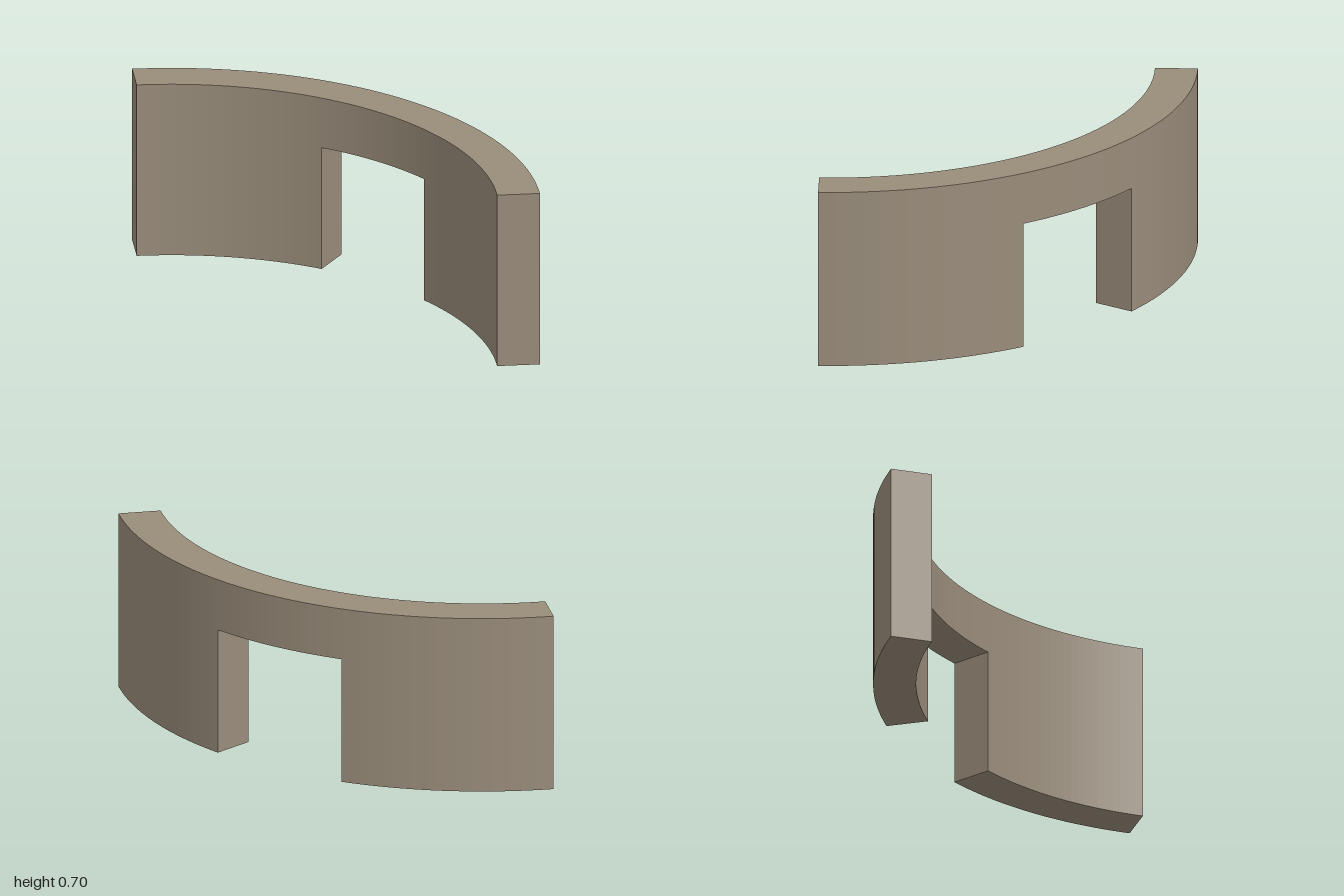
import * as THREE from 'three';

const OUTER = Math.SQRT2, INNER = 1.25; // wall radii
const CENTRE_X = -1.149;                // axis of the curve
const HEIGHT = 0.705, DOOR_HEIGHT = 0.5;
const END = Math.PI / 4;                // half angle of the whole wall
const DOOR = THREE.MathUtils.degToRad(11.6); // half angle of the opening

export function createModel() {
  const group = new THREE.Group();
  group.name = 'curvedWall';
  const stone = new THREE.MeshStandardMaterial({ color: 0x998c7a });
  stone.name = 'warm grey stone';

  // Curved block between two angles and two heights
  function arcBlock(name, from, to, bottom, top, segments) {
    const shape = new THREE.Shape();
    shape.absarc(0, 0, OUTER, from, to, false);
    shape.absarc(0, 0, INNER, to, from, true);
    shape.closePath();
    const geometry = new THREE.ExtrudeGeometry(shape, {
      depth: top - bottom, bevelEnabled: false, curveSegments: segments,
    });
    geometry.rotateX(-Math.PI / 2);
    geometry.translate(CENTRE_X, bottom, 0);
    const mesh = new THREE.Mesh(geometry, stone);
    mesh.name = name;
    group.add(mesh);
  }

  // Wall on each side of the doorway, and the lintel bridging it
  arcBlock('frontWall', -END, -DOOR, 0, HEIGHT, 12);
  arcBlock('backWall', DOOR, END, 0, HEIGHT, 12);
  arcBlock('lintel', -DOOR, DOOR, DOOR_HEIGHT, HEIGHT, 8);
  return group;
}
